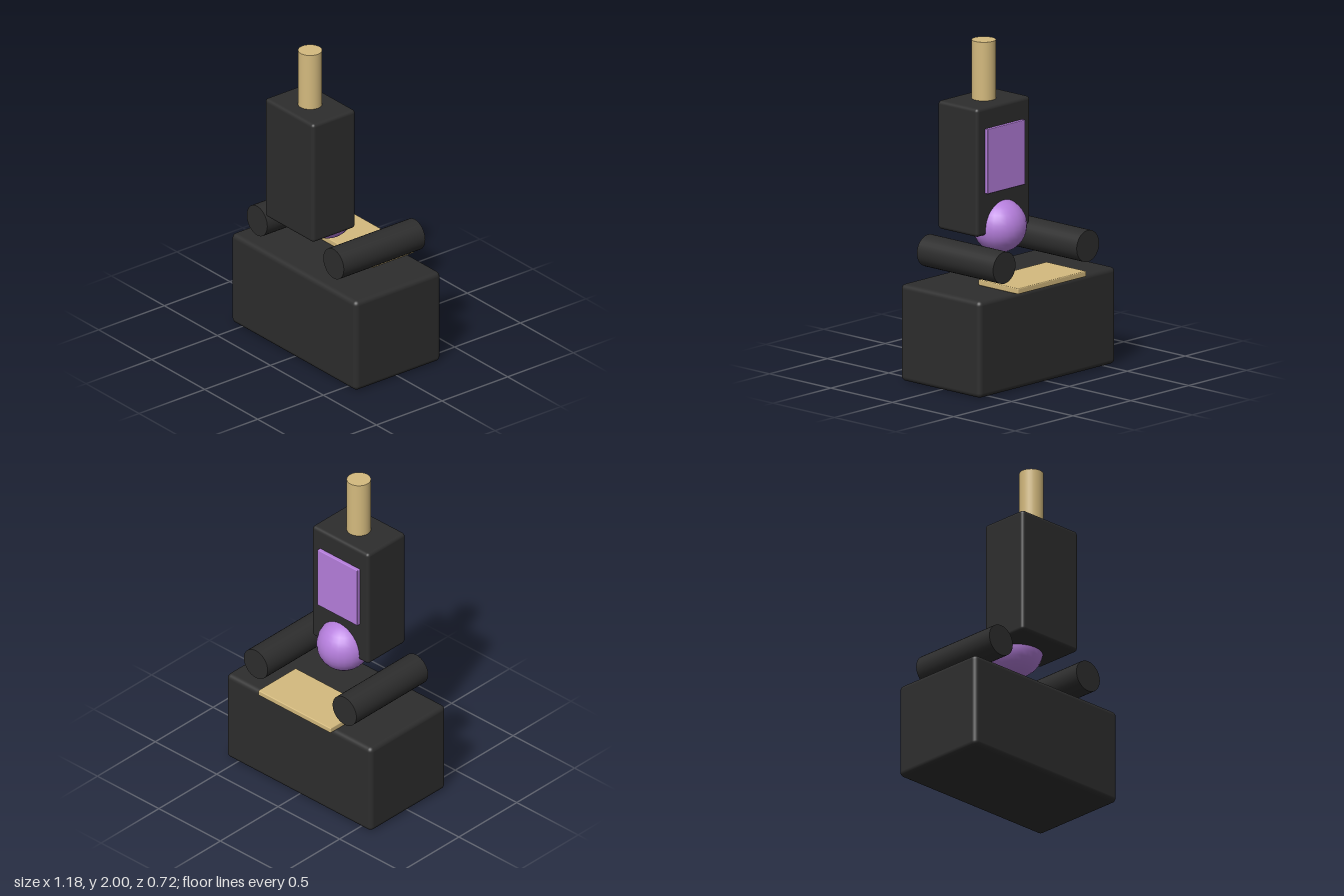
import * as THREE from 'three';
import { RoundedBoxGeometry } from 'three/addons/geometries/RoundedBoxGeometry.js';

function material(name, color) {
  const m = new THREE.MeshStandardMaterial({ color });
  m.name = name;
  return m;
}

export function createModel() {
  const model = new THREE.Group();
  model.name = 'model';
  const charcoal = material('charcoal', 0x2d2d2d);
  const tan = material('tan', 0xd4ba7e);
  const purple = material('purple', 0xb57edc);

  function add(name, geometry, mat, x, y, z) {
    const mesh = new THREE.Mesh(geometry, mat);
    mesh.name = name;
    mesh.position.set(x, y, z);
    model.add(mesh);
    return mesh;
  }

  // Base block and the thin tray overhanging its back edge
  add('base', new RoundedBoxGeometry(1.18, 0.592, 0.652, 4, 0.03), charcoal, 0, 0.296, 0);
  add('tray', new RoundedBoxGeometry(0.59, 0.035, 0.325, 2, 0.006), tan, 0, 0.609, -0.198);

  // Upright column with a back panel and a post on top
  add('column', new RoundedBoxGeometry(0.46, 0.785, 0.327, 4, 0.022), charcoal, 0, 1.249, 0.197);
  add('backPanel', new RoundedBoxGeometry(0.326, 0.395, 0.032, 2, 0.005), purple, 0, 1.313, 0.027);
  add('post', new THREE.CylinderGeometry(0.072, 0.072, 0.38, 32), tan, 0, 1.81, 0.197);

  // Ball set into the lower back of the column
  add('ball', new THREE.SphereGeometry(0.163, 24, 16), purple, 0, 0.888, 0.068);

  // Side arms running front to back
  for (const [name, side] of [['leftArm', 1], ['rightArm', -1]]) {
    const arm = new THREE.CylinderGeometry(0.097, 0.097, 0.62, 32);
    arm.rotateX(Math.PI / 2);
    add(name, arm, charcoal, side * 0.361, 0.758, 0);
  }

  return model;
}
